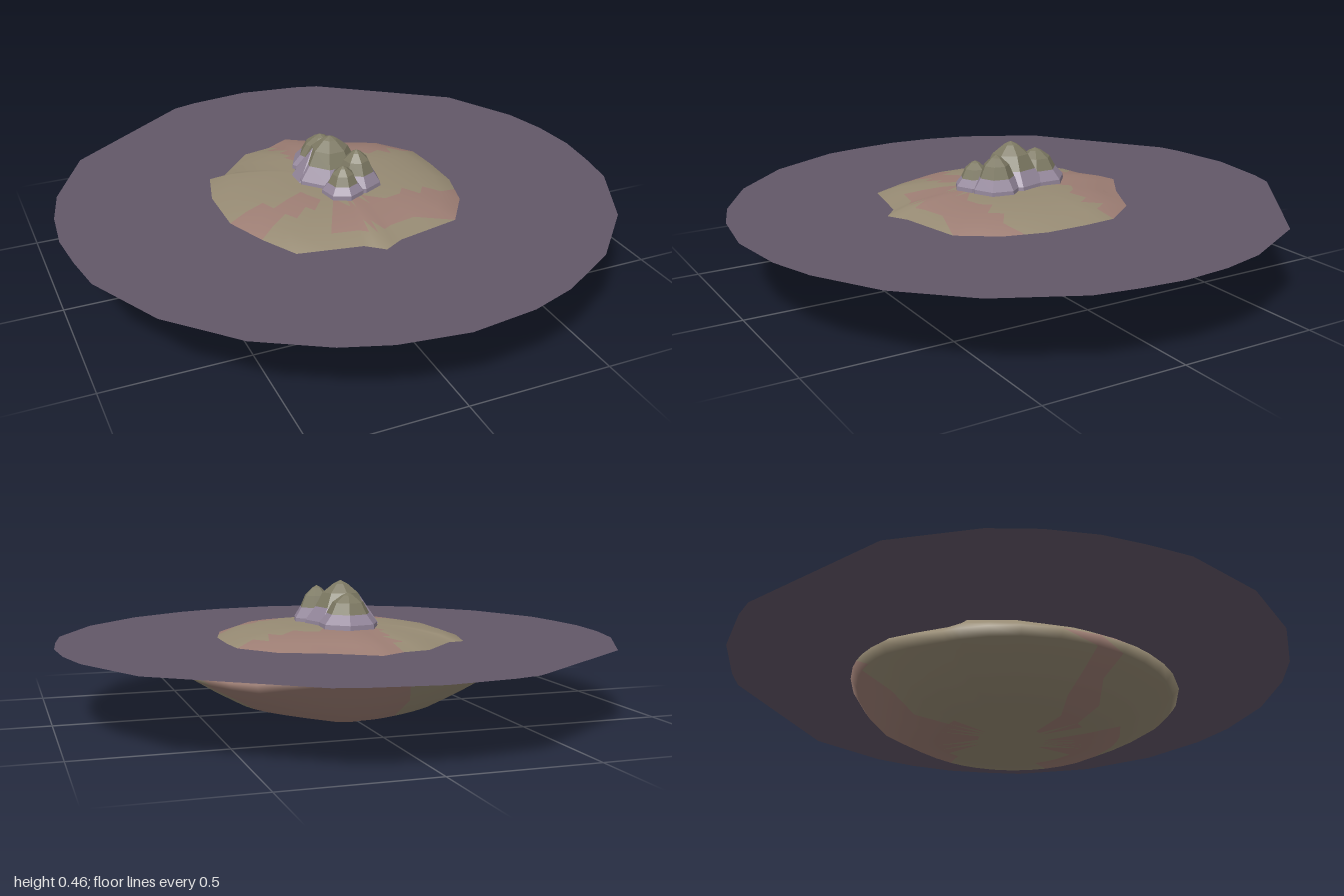
import * as THREE from 'three';

const SEA = 0.26;
const mat = (color, extra = {}) => new THREE.MeshStandardMaterial({ color, ...extra });
const lerp = THREE.MathUtils.lerp;

// Shoreline as [x, z], running from the front round by the model's left
const SHORE = [
  [-0.02, 0.47], [0.05, 0.43], [0.28, 0.38], [0.37, 0.25], [0.41, 0.1], [0.41, -0.05],
  [0.4, -0.17], [0.3, -0.3], [0.13, -0.38], [-0.01, -0.47], [-0.1, -0.42], [-0.2, -0.4],
  [-0.33, -0.26], [-0.39, -0.25], [-0.43, -0.1], [-0.43, 0.1], [-0.37, 0.25], [-0.3, 0.38], [-0.08, 0.42],
];

// Half of the sea outline as [x, z], from back to front
const SEA_HALF = [
  [0, -1], [0.23, -0.97], [0.32, -0.945], [0.79, -0.6], [0.93, -0.33], [0.97, -0.17], [0.985, 0],
  [0.97, 0.15], [0.945, 0.3], [0.81, 0.57], [0.61, 0.78], [0.39, 0.91], [0.23, 0.965], [0, 0.995],
];

function makeSea() {
  const left = SEA_HALF.map(([x, z]) => new THREE.Vector2(x, -z));
  const right = SEA_HALF.slice(1, -1).reverse().map(([x, z]) => new THREE.Vector2(-x, -z));
  const geo = new THREE.ShapeGeometry(new THREE.Shape([...left, ...right]));
  geo.rotateX(-Math.PI / 2).translate(0, SEA, 0);
  const sea = new THREE.Mesh(geo, mat(0x625768, { side: THREE.DoubleSide }));
  sea.name = 'sea';
  return sea;
}

// Clay-coloured areas of the ground; everything else is sand
function isClay(x, z) {
  if (x < -0.13) return z > 0.1 && z < 0.21;
  return (z > 0.2 && z < 0.36) || (z < -0.16 && x > -0.1);
}

function makeIsland() {
  const spokes = [];
  SHORE.forEach((p, i) => {
    const q = SHORE[(i + 1) % SHORE.length];
    for (const t of [0, 0.5]) spokes.push([lerp(p[0], q[0], t), lerp(p[1], q[1], t)]);
  });
  // Widest outline of the rock, lifted at the back
  const rims = spokes.map(([x, z]) => {
    const a = Math.atan2(x, z);
    return [-0.01 + 0.57 * Math.sin(a), 0.015 + 0.585 * Math.cos(a)];
  });
  const lift = (z) => 0.05 * THREE.MathUtils.clamp((-z - 0.38) / 0.19, 0, 1);

  const rings = [];
  // Ground above the shore
  for (const [s, y] of [[0, 0.315], [0.2, 0.314], [0.4, 0.311], [0.55, 0.307], [0.7, 0.297], [0.85, 0.284], [1, SEA]])
    rings.push(spokes.map(([x, z]) => [x * s, y, z * s]));
  // Shoulder between shore and rim
  rings.push(spokes.map(([x, z], i) => {
    const [rx, rz] = rims[i];
    const t = 0.5 + 0.3 * Math.abs(rz / 0.6);
    const rz2 = lerp(z, rz, t);
    return [lerp(x, rx, t), 0.21 + 0.8 * lift(rz2), rz2];
  }));
  // Rim and underside, sagging to a low point near the back
  for (const [s, y] of [[1, 0.17], [0.96, 0.143], [0.8, 0.088], [0.65, 0.042], [0.45, 0.024], [0.2, 0.02], [0, 0.02]])
    rings.push(rims.map(([rx, rz]) => {
      const x = rx * s, z = rz * s;
      const sag = 0.024 * Math.exp(-((x - 0.04) ** 2 + (z + 0.26) ** 2) / 0.02);
      return [x, Math.max(0, y + lift(z) - sag), z];
    }));

  const n = spokes.length, pts = rings.flat();
  const sand = [], clay = [];
  for (let r = 0; r < rings.length - 1; r++)
    for (let i = 0; i < n; i++) {
      const j = (i + 1) % n;
      const a = r * n + i, b = (r + 1) * n + i, c = (r + 1) * n + j, d = r * n + j;
      for (const tri of [[a, b, c], [a, c, d]]) {
        const mid = (k) => tri.reduce((sum, v) => sum + pts[v][k], 0) / 3;
        (isClay(mid(0), mid(2)) ? clay : sand).push(...tri);
      }
    }
  const geo = new THREE.BufferGeometry();
  geo.setAttribute('position', new THREE.Float32BufferAttribute(pts.flat(), 3));
  geo.setIndex([...sand, ...clay]);
  geo.computeVertexNormals();

  // Both grounds share one set of smooth normals
  const island = new THREE.Group();
  island.name = 'island';
  for (const [name, index, color] of [['sandGround', sand, 0x968a73], ['clayGround', clay, 0x9c7d73]]) {
    const part = geo.clone();
    part.setIndex(index);
    const mesh = new THREE.Mesh(part, mat(color));
    mesh.name = name;
    island.add(mesh);
  }
  return island;
}

// A hill: faceted stone foot with a mossy pointed cap
function makeHill({ x, z, r, top, turn }) {
  const hill = new THREE.Group();
  hill.name = 'hill';
  const lathe = (name, profile, color) => {
    const geo = new THREE.LatheGeometry(profile.map(([u, v]) => new THREE.Vector2(u, v)), 7);
    const mesh = new THREE.Mesh(geo, mat(color, { flatShading: true, side: THREE.DoubleSide }));
    mesh.name = name;
    hill.add(mesh);
  };
  const h = top - 0.31;
  lathe('stoneFoot', [[r, 0.295], [r * 0.97, 0.325], [r * 0.7, 0.31 + h * 0.4]], 0x93869a);
  lathe('mossCap', [[r * 0.7, 0.31 + h * 0.4], [r * 0.5, 0.31 + h * 0.72], [r * 0.2, top - h * 0.08], [0, top]], 0x7d7963);
  hill.position.set(x, 0, z);
  hill.rotation.y = turn;
  return hill;
}

export function createModel() {
  const model = new THREE.Group();
  model.name = 'islandScene';
  model.add(makeSea(), makeIsland());

  const hills = new THREE.Group();
  hills.name = 'hills';
  for (const spec of [
    { x: -0.01, z: -0.115, r: 0.11, top: 0.43, turn: 0.2 },
    { x: -0.015, z: -0.015, r: 0.13, top: 0.465, turn: 0.5 },
    { x: 0.045, z: 0.08, r: 0.09, top: 0.44, turn: 0.9 },
    { x: -0.025, z: 0.125, r: 0.075, top: 0.41, turn: 0 },
  ]) hills.add(makeHill(spec));
  // Bare stone slope on the right of the tallest hill
  const slope = new THREE.Mesh(new THREE.ConeGeometry(0.09, 0.13, 6),
    mat(0x93869a, { flatShading: true }));
  slope.name = 'stoneSlope';
  slope.position.set(-0.075, 0.355, -0.03);
  hills.add(slope);
  model.add(hills);
  return model;
}
